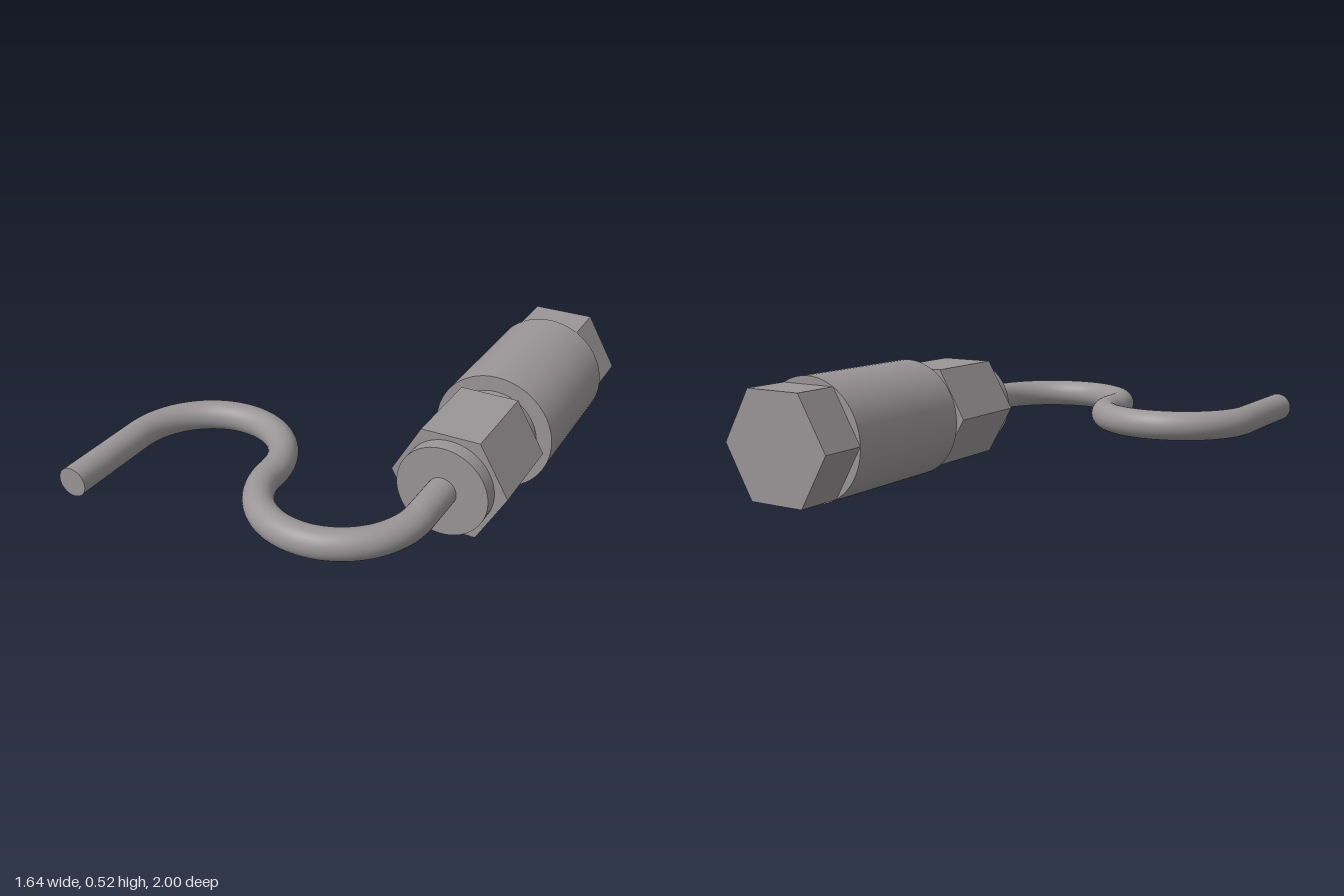
import * as THREE from 'three';

export function createModel() {
  const group = new THREE.Group();
  const color = 0x9a9697;
  const smooth = new THREE.MeshStandardMaterial({ color });
  const flat = new THREE.MeshStandardMaterial({ color, flatShading: true });
  const axisX = 0.557, axisY = 0.263;

  const add = (name, geometry, material, x, z) => {
    const mesh = new THREE.Mesh(geometry, material);
    mesh.name = name;
    mesh.position.set(x, axisY, z);
    group.add(mesh);
  };

  // Round or hexagonal bar along z; hexagons have corners on the x axis
  const bar = (name, radius, z0, z1, sides = 64, x = axisX) => {
    const g = new THREE.CylinderGeometry(radius, radius, z1 - z0, sides, 1, false, Math.PI / 2);
    g.rotateX(Math.PI / 2);
    add(name, g, sides === 6 ? flat : smooth, x, (z0 + z1) / 2);
  };

  // Fitting, from back to front
  bar('endHexNut', 0.262, -1, -0.8, 6);
  bar('body', 0.262, -0.8, -0.15);
  bar('neck', 0.195, -0.15, -0.083);
  bar('frontHexNut', 0.25, -0.083, 0.312, 6);
  bar('frontCollar', 0.195, 0.312, 0.377);

  // S-shaped pipe: two straight ends joined by two half-circle bends
  const pipe = 0.063, bend = 0.3285, bendZ = 0.573;
  bar('pipeInlet', pipe, 0.377, bendZ, 32);
  bar('pipeOutlet', pipe, bendZ, 1, 32, axisX - 4 * bend);
  [1, -1].forEach((dir, i) => {
    const g = new THREE.TorusGeometry(bend, pipe, 32, 64, Math.PI);
    g.rotateX(dir * Math.PI / 2);
    add(i ? 'rearBend' : 'frontBend', g, smooth, axisX - (1 + 2 * i) * bend, bendZ);
  });

  return group;
}
